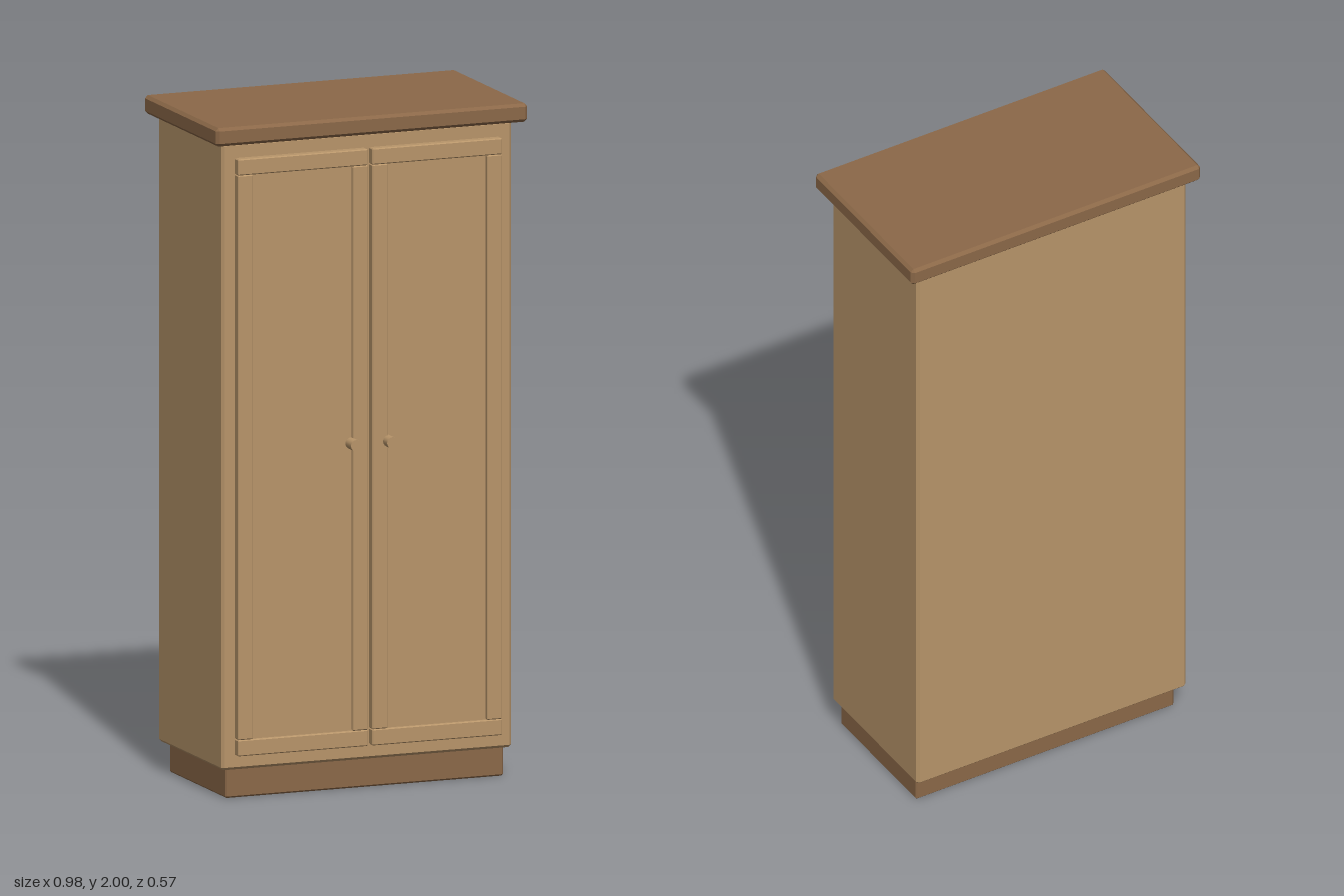
import * as THREE from 'three';
import { ConvexGeometry } from 'three/addons/geometries/ConvexGeometry.js';

const lightWood = new THREE.MeshStandardMaterial({ color: 0xb8956a });
lightWood.name = 'lightWood';
const darkWood = new THREE.MeshStandardMaterial({ color: 0x8b6848 });
darkWood.name = 'darkWood';

// Box between two corners with every edge chamfered by c
function chamferBox(name, material, min, max, c) {
  const points = [];
  for (const sx of [-1, 1]) for (const sy of [-1, 1]) for (const sz of [-1, 1]) {
    const s = [sx, sy, sz];
    for (let flat = 0; flat < 3; flat++) {
      const p = s.map((d, i) => (d < 0 ? min[i] : max[i]) - (i === flat ? 0 : d * c));
      points.push(new THREE.Vector3(...p));
    }
  }
  const mesh = new THREE.Mesh(new ConvexGeometry(points), material);
  mesh.name = name;
  return mesh;
}

// Framed door on the +x side (side = 1) or the -x side (side = -1)
function createDoor(side) {
  const door = new THREE.Group();
  door.name = side > 0 ? 'leftDoor' : 'rightDoor';
  const inner = 0.007, outer = 0.416, bottom = 0.13, top = 1.9, rail = 0.048;
  const add = (name, x0, x1, y0, y1, z1, c) => {
    const xs = [x0 * side, x1 * side].sort((a, b) => a - b);
    door.add(chamferBox(name, lightWood, [xs[0], y0, 0.22], [xs[1], y1, z1], c));
  };
  add('doorPanel', inner + 0.003, outer - 0.003, bottom + 0.003, top - 0.003, 0.24, 0.003);
  add('topRail', inner, outer, top - rail, top, 0.251, 0.003);
  add('bottomRail', inner, outer, bottom, bottom + rail, 0.251, 0.003);
  add('innerStile', inner, inner + rail, bottom + rail, top - rail, 0.251, 0.003);
  add('outerStile', outer - rail, outer, bottom + rail, top - rail, 0.251, 0.003);

  // Round knob
  const knob = new THREE.Mesh(new THREE.CylinderGeometry(0.017, 0.017, 0.043, 16), lightWood);
  knob.name = 'knob';
  knob.rotation.x = Math.PI / 2;
  knob.position.set(0.057 * side, 1.03, 0.2605);
  door.add(knob);
  return door;
}

export function createModel() {
  const model = new THREE.Group();
  model.name = 'wardrobe';

  // Plinth, carcass and overhanging top
  model.add(chamferBox('plinth', darkWood, [-0.438, 0, -0.218], [0.438, 0.09, 0.208], 0.005));
  model.add(chamferBox('carcass', lightWood, [-0.457, 0.086, -0.257], [0.457, 1.945, 0.225], 0.008));
  model.add(chamferBox('topSlab', darkWood, [-0.491, 1.945, -0.284], [0.491, 2, 0.267], 0.009));

  for (const side of [-1, 1]) model.add(createDoor(side));
  return model;
}
